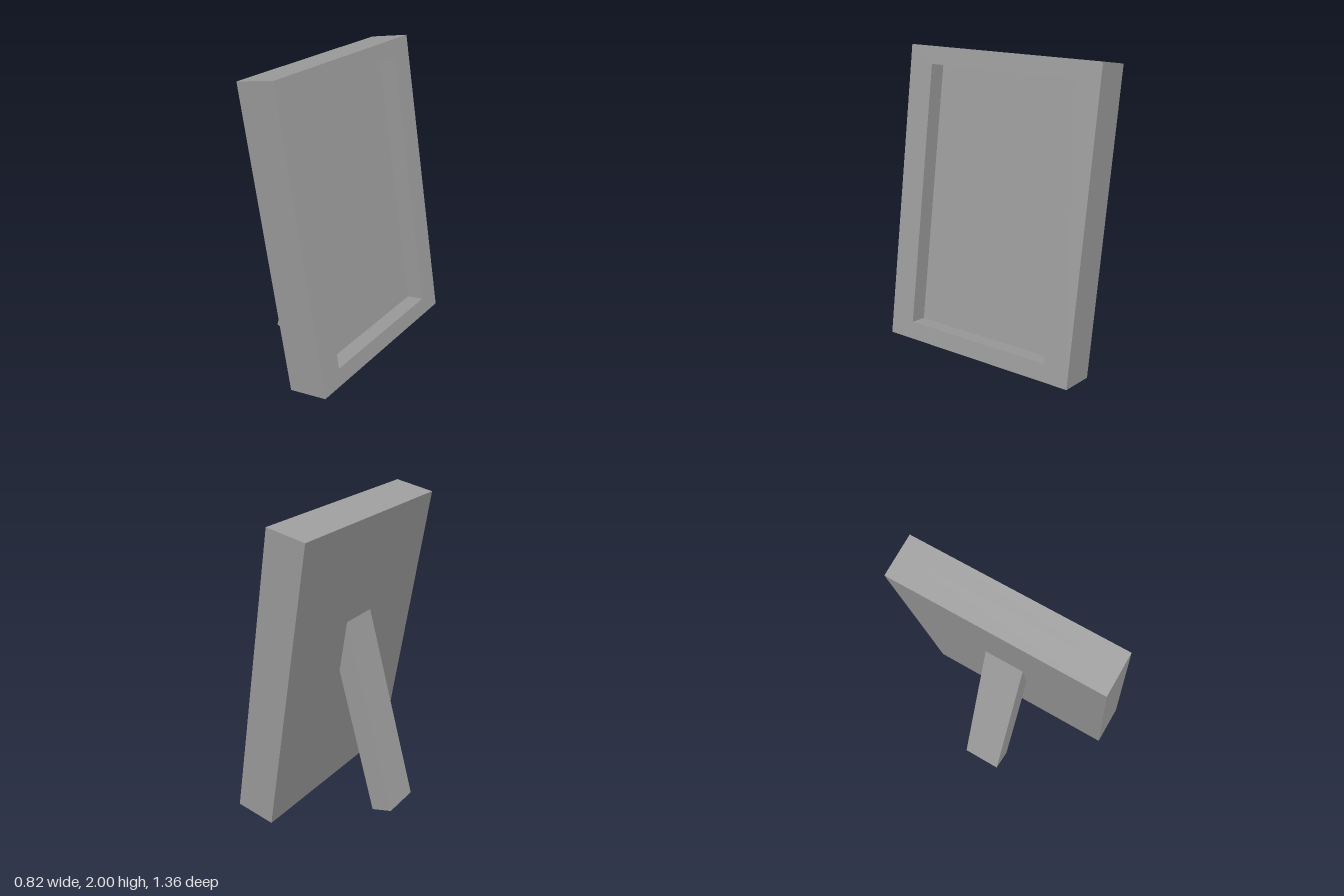
import * as THREE from 'three';

const grey = new THREE.MeshStandardMaterial({ color: 0xa0a0a0 });
grey.name = 'plain grey';

// Extrude a side profile (x, y) symmetrically about z = 0
function slab(name, shape, depth) {
  const geometry = new THREE.ExtrudeGeometry(shape, { depth, bevelEnabled: false });
  geometry.translate(0, 0, -depth / 2);
  const mesh = new THREE.Mesh(geometry, grey);
  mesh.name = name;
  return mesh;
}

function rectangle(Type, halfWidth, bottom, top) {
  return new Type([[-halfWidth, bottom], [halfWidth, bottom], [halfWidth, top], [-halfWidth, top]]
    .map(([x, y]) => new THREE.Vector2(x, y)));
}

export function createModel() {
  const model = new THREE.Group();
  model.name = 'pictureFrame';

  const width = 1.36, height = 1.93, thickness = 0.265, recess = 0.117, tilt = 0.1685;
  const backDepth = thickness - recess;

  // Leaning frame: origin at the lower back edge, local x towards its face
  const frame = new THREE.Group();
  frame.name = 'frame';
  frame.position.set(0.144, 0.054, 0);
  frame.rotation.z = tilt;
  model.add(frame);

  // Solid back with the picture panel as its front surface
  const back = new THREE.Mesh(new THREE.BoxGeometry(backDepth, height, width), grey);
  back.name = 'backPanel';
  back.position.set(backDepth / 2, height / 2, 0);
  frame.add(back);

  // Raised border around the picture opening
  const border = rectangle(THREE.Shape, width / 2, 0, height);
  border.holes.push(rectangle(THREE.Path, 0.51, 0.115, height - 0.112));
  const rim = slab('border', border, recess);
  rim.rotation.y = Math.PI / 2;
  rim.position.set(backDepth + recess / 2, height / 2 - height / 2, 0);
  frame.add(rim);

  // Easel leg, mitred against the back of the frame
  const leg = new THREE.Shape([[-0.41, 0.04], [-0.27, 0], [-0.008, 0.96], [-0.067, 1.3]]
    .map(([x, y]) => new THREE.Vector2(x, y)));
  model.add(slab('easelLeg', leg, 0.26));

  return model;
}
